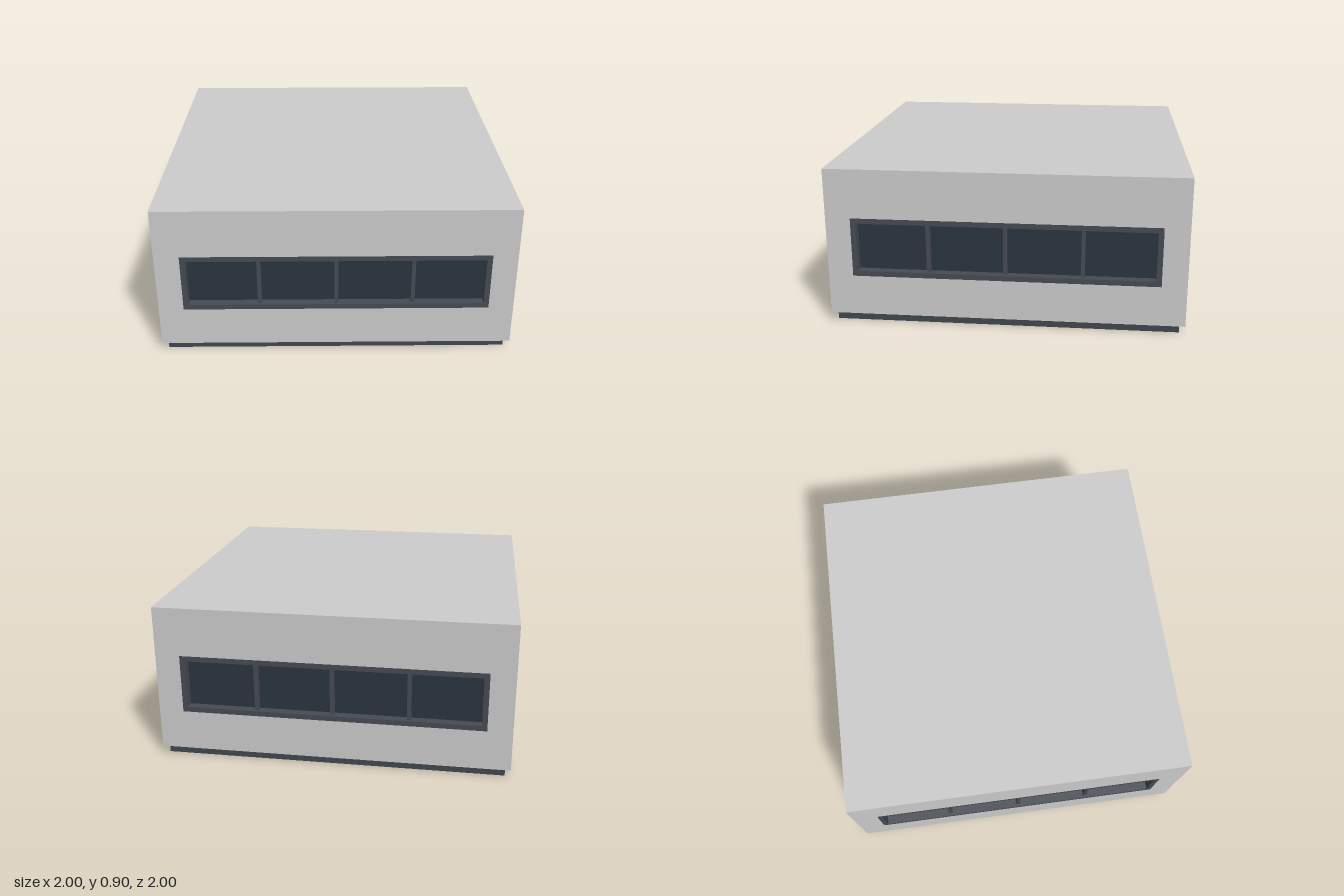
import * as THREE from 'three';

const WALL_BOTTOM = 0.05, WALL_TOP = 0.9;
const WINDOW = { halfWidth: 0.86, bottom: 0.28, top: 0.62 };
const FRAME = 0.03, DEPTH = 0.06;

const wallMat = new THREE.MeshStandardMaterial({ color: 0xcccccc });
const frameMat = new THREE.MeshStandardMaterial({ color: 0x464b53 });
const glassMat = new THREE.MeshStandardMaterial({ color: 0x2a343f });
const baseMat = new THREE.MeshStandardMaterial({ color: 0x40474f });

function part(name, geometry, material, x = 0, y = 0, z = 0) {
  const mesh = new THREE.Mesh(geometry, material);
  mesh.name = name;
  mesh.position.set(x, y, z);
  return mesh;
}

// Adds a closed rectangle to a shape or path
function rect(path, halfWidth, bottom, top) {
  return path.moveTo(-halfWidth, bottom).lineTo(halfWidth, bottom)
    .lineTo(halfWidth, top).lineTo(-halfWidth, top).closePath();
}

// One facade: wall with an opening, flush frame, recessed glass and mullions
function createFacade(name) {
  const side = new THREE.Group();
  side.name = name;
  const { halfWidth: w, bottom, top } = WINDOW;
  const middle = (bottom + top) / 2;
  const innerHeight = top - bottom - 2 * FRAME;

  const wall = rect(new THREE.Shape(), 1, WALL_BOTTOM, WALL_TOP);
  wall.holes.push(rect(new THREE.Path(), w, bottom, top));
  side.add(part('wall', new THREE.ShapeGeometry(wall), wallMat, 0, 0, 1));

  const frame = rect(new THREE.Shape(), w, bottom, top);
  frame.holes.push(rect(new THREE.Path(), w - FRAME, bottom + FRAME, top - FRAME));
  const frameGeometry = new THREE.ExtrudeGeometry(frame, { depth: DEPTH, bevelEnabled: false });
  side.add(part('windowFrame', frameGeometry, frameMat, 0, 0, 1 - DEPTH));

  const glass = new THREE.BoxGeometry(2 * (w - FRAME), innerHeight, 0.01);
  side.add(part('windowGlass', glass, glassMat, 0, middle, 1 - DEPTH + 0.005));

  for (const x of [-0.43, 0, 0.43]) {
    const bar = new THREE.BoxGeometry(0.022, innerHeight, DEPTH - 0.015);
    side.add(part('mullion', bar, frameMat, x, middle, 1 - DEPTH / 2 - 0.0075));
  }
  return side;
}

export function createModel() {
  const model = new THREE.Group();
  model.name = 'building';

  // Four identical facades
  ['frontFacade', 'leftFacade', 'backFacade', 'rightFacade'].forEach((name, i) => {
    const facade = createFacade(name);
    facade.rotation.y = i * Math.PI / 2;
    model.add(facade);
  });

  // Flat roof and underside close the body
  const roof = part('roof', new THREE.PlaneGeometry(2, 2), wallMat, 0, WALL_TOP, 0);
  roof.rotation.x = -Math.PI / 2;
  const underside = part('underside', new THREE.PlaneGeometry(2, 2), wallMat, 0, WALL_BOTTOM, 0);
  underside.rotation.x = Math.PI / 2;
  model.add(roof, underside);

  // Inset plinth
  model.add(part('plinth', new THREE.BoxGeometry(1.94, WALL_BOTTOM, 1.94), baseMat, 0, WALL_BOTTOM / 2, 0));
  return model;
}
